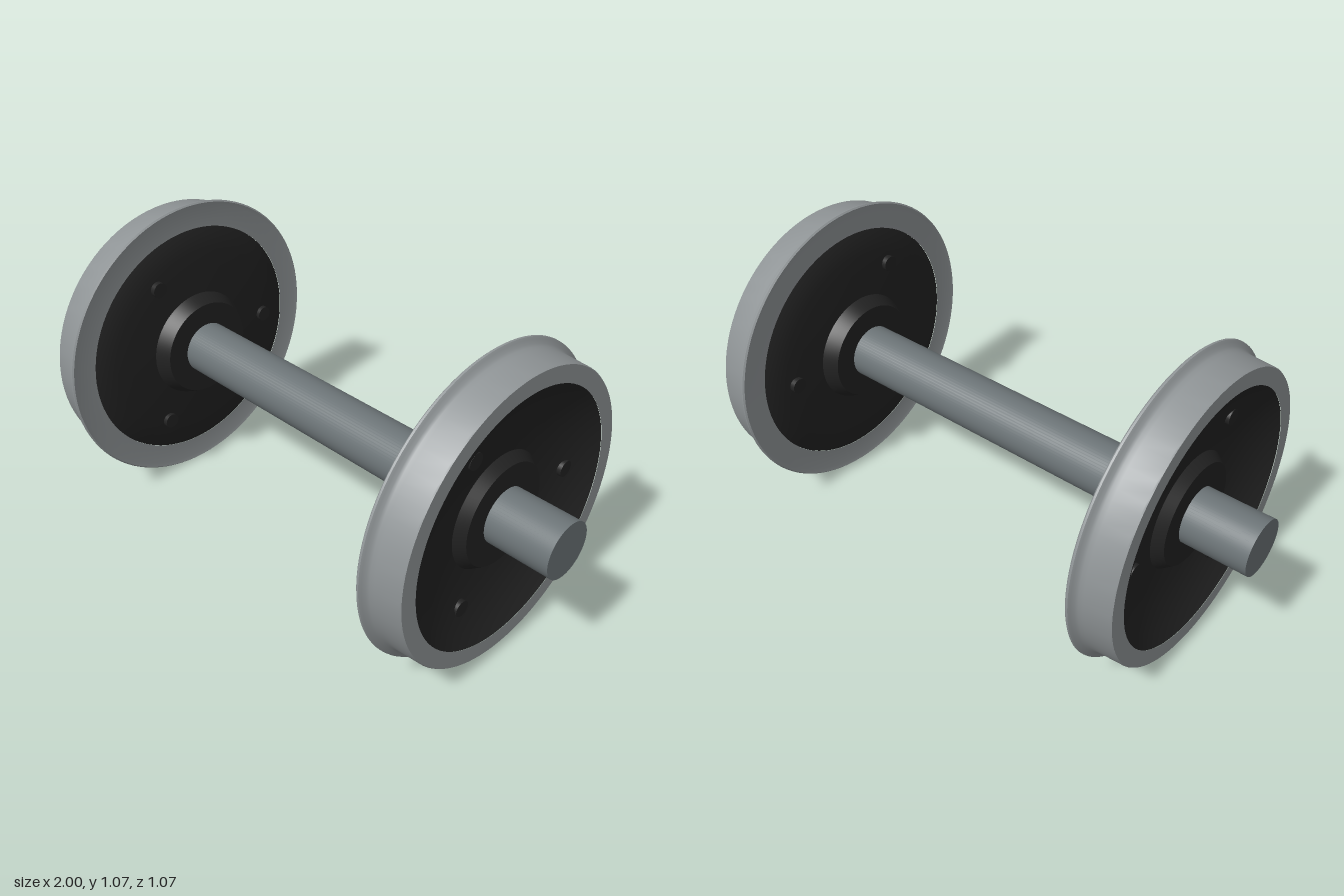
import * as THREE from 'three';
import { toCreasedNormals } from 'three/addons/utils/BufferGeometryUtils.js';

const CENTER_Y = 0.535;

const rimSteel = new THREE.MeshStandardMaterial({ color: 0x909597 });
rimSteel.name = 'rim steel';
const axleSteel = new THREE.MeshStandardMaterial({ color: 0x6c7477 });
axleSteel.name = 'axle steel';
const blackPaint = new THREE.MeshStandardMaterial({ color: 0x222222 });
blackPaint.name = 'black paint';

// Profiles are [radius, distance along the axle from the middle]
const rimProfile = [
  [0.44, 0.68], [0.515, 0.68], [0.53, 0.677], [0.535, 0.682], [0.534, 0.688],
  [0.527, 0.693], [0.516, 0.699], [0.51, 0.708], [0.507, 0.722],
  [0.501, 0.81], [0.498, 0.815], [0.44, 0.815],
];
const plateProfile = [
  [0.09, 0.6], [0.175, 0.6], [0.197, 0.642], [0.2, 0.65], [0.3, 0.655],
  [0.36, 0.66], [0.41, 0.668], [0.44, 0.682], [0.441, 0.813],
  [0.4, 0.79], [0.32, 0.762], [0.25, 0.748], [0.2, 0.742],
  [0.175, 0.775], [0.09, 0.775],
];

// Turn a profile about the x axis
function turned(profile) {
  const points = profile.map(([r, x]) => new THREE.Vector2(r, x));
  const geometry = new THREE.LatheGeometry(points, 96);
  geometry.rotateZ(-Math.PI / 2);
  return toCreasedNormals(geometry, 0.5);
}

function mesh(name, geometry, material, parent) {
  const part = new THREE.Mesh(geometry, material);
  part.name = name;
  parent.add(part);
  return part;
}

export function createModel() {
  const model = new THREE.Group();
  model.name = 'wheelset';

  // Straight axle through both wheels
  const axleGeometry = new THREE.CylinderGeometry(0.095, 0.095, 2, 64);
  axleGeometry.rotateZ(Math.PI / 2);
  mesh('axle', axleGeometry, axleSteel, model).position.y = CENTER_Y;

  const rimGeometry = turned(rimProfile);
  const plateGeometry = turned(plateProfile);
  const boltGeometry = new THREE.CylinderGeometry(0.028, 0.028, 0.132, 24);
  boltGeometry.rotateZ(Math.PI / 2);

  for (const side of [1, -1]) {
    const wheel = new THREE.Group();
    wheel.name = side > 0 ? 'leftWheel' : 'rightWheel';
    wheel.position.y = CENTER_Y;
    wheel.rotation.y = side > 0 ? 0 : Math.PI;
    model.add(wheel);
    mesh('flangedRim', rimGeometry, rimSteel, wheel);
    mesh('dishedPlateAndHub', plateGeometry, blackPaint, wheel);

    // Three bolts through the plate, aligned on both wheels
    for (let i = 0; i < 3; i++) {
      const angle = (i * Math.PI * 2) / 3;
      const bolt = mesh('bolt', boltGeometry, blackPaint, wheel);
      bolt.position.set(0.706, Math.sin(angle) * 0.32, -side * Math.cos(angle) * 0.32);
    }
  }
  return model;
}
